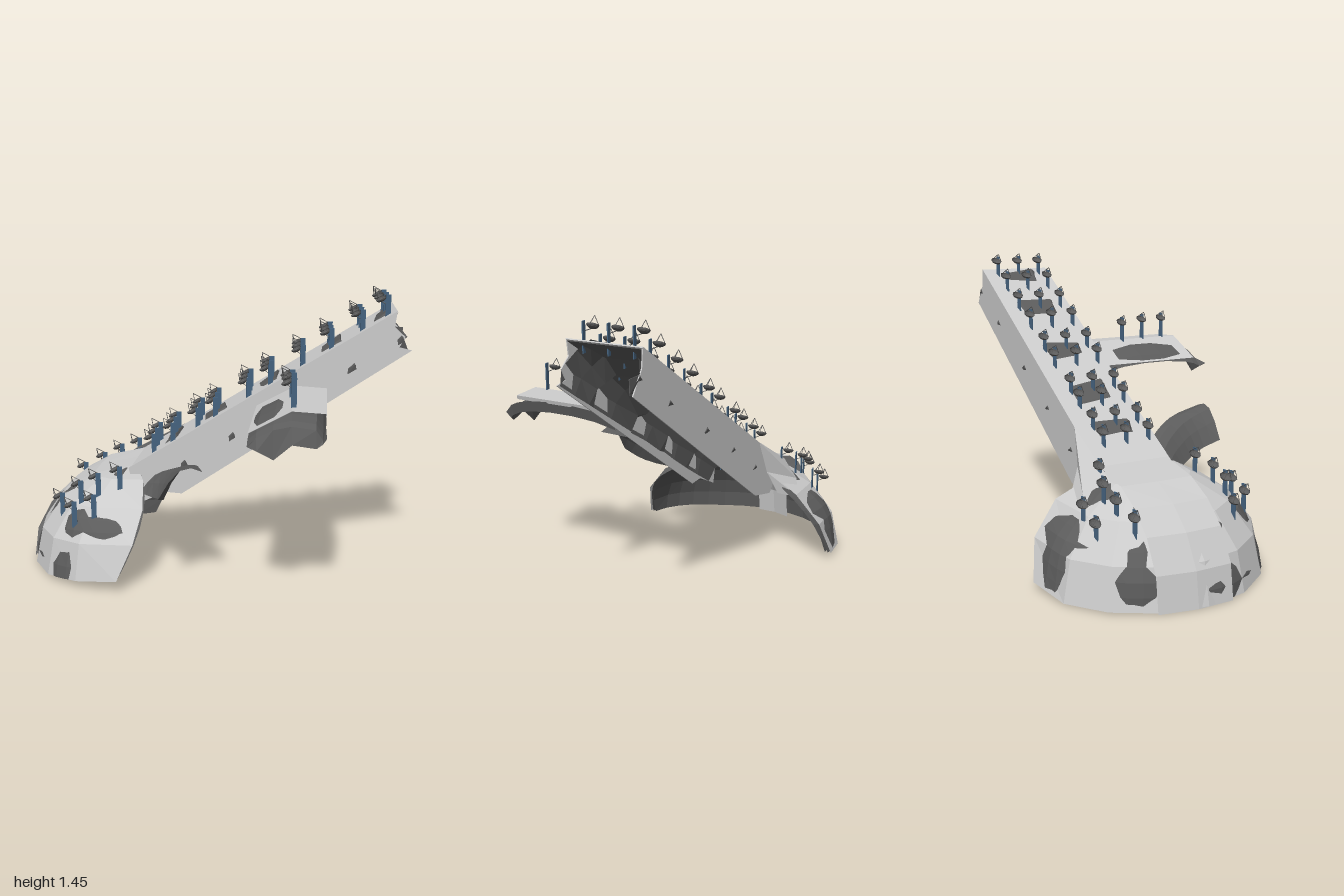
import * as THREE from 'three';

const mat = (color) => new THREE.MeshStandardMaterial({ color, flatShading: true, side: THREE.DoubleSide });
const hull = mat(0xcccccc), dark = mat(0x5c5c5c), blue = mat(0x466480);
const V = (x, y, z) => new THREE.Vector3(x, y, z);

// small repeatable jitter in -a..a
let seed = 7;
const jit = (a) => {
  seed = (seed * 16807) % 2147483647;
  return a * (seed / 1073741823.5 - 1);
};

function part(name, geometry, material, parent) {
  const m = new THREE.Mesh(geometry, material);
  m.name = name;
  parent.add(m);
  return m;
}

// skin stretched over rows of points
function loft(rows) {
  const n = rows[0].length, index = [];
  for (let i = 0; i < rows.length - 1; i++) {
    for (let j = 0; j < n - 1; j++) {
      const a = i * n + j, b = a + n;
      index.push(a, b, a + 1, b, b + 1, a + 1);
    }
  }
  const g = new THREE.BufferGeometry().setFromPoints(rows.flat());
  g.setIndex(index);
  g.computeVertexNormals();
  return g;
}

// half ellipsoid, open towards +x and below; waves make it bulge unevenly
function domeShell(scale, azSegs, elSegs, waves) {
  const rows = [];
  for (let i = 0; i <= azSegs; i++) {
    const t = i / azSegs, az = THREE.MathUtils.lerp(-1.58, 1.58, t);
    const row = [];
    for (let j = 0; j <= elSegs; j++) {
      const f = j / elSegs, el = f * Math.PI / 2;
      const s = scale + waves * Math.sin(5 * az + 4 * el) * Math.cos(3 * az - 5 * el);
      const c = Math.cos(el) * s;
      const edge = i === 0 || i === azSegs ? 0.01 + 0.11 * Math.sin(Math.PI * f) : 0;
      const rear = 0.055 * Math.max(0, t - 0.7) / 0.3 + 0.03 * Math.max(0, 0.12 - t) / 0.12;
      row.push(V(-0.54 * c * Math.cos(az) + edge, 0.01 + rear * (1 - f) + 0.5 * s * Math.sin(el), 0.58 * c * Math.sin(az)));
    }
    rows.push(row);
  }
  return loft(rows);
}

// strip running from the ground over the crown of the head
function crownBand(scale, half) {
  const path = [[-0.56, 0.005], [-0.535, 0.17], [-0.45, 0.32], [-0.34, 0.42], [-0.2, 0.49], [0.02, 0.535]];
  return loft(path.map(([x, y]) => [[-half, 0.89], [0, 0.955], [half, 0.95]].map(
    ([z, k]) => V(x * scale * k, y * scale, z))));
}

function sideWall(points) {
  const s = new THREE.Shape(points.map(([x, y]) => new THREE.Vector2(x, y)));
  return new THREE.ExtrudeGeometry(s, { depth: 0.006, bevelEnabled: false });
}

// stepped vault under the deck, one sloping bay after another
function vault() {
  const bays = [0, 0.3, 0.6, 0.92, 1.3, 1.58], rows = [];
  const arch = (s, top, wide) => [
    [-0.186, -0.2], [-0.186 * wide, -0.12], [-0.15 * wide, top - 0.045], [-0.09, top],
    [0.09, top], [0.15 * wide, top - 0.045], [0.186 * wide, -0.12], [0.186, -0.2],
  ].map(([z, y]) => V(s + jit(0.02), y + jit(0.005), z));
  for (let i = 0; i < bays.length - 1; i++) {
    rows.push(arch(bays[i], -0.05, 0.87));
    rows.push(arch((bays[i] + bays[i + 1]) / 2, i === 1 ? 0.002 : -0.009, 0.98));
    rows.push(arch(bays[i + 1] - 0.02, 0.011, 1.07));
  }
  return loft(rows);
}

// mast with a tilted dish and three struts; (x, y, z) is the dish centre
function antenna(x, y, z, parent) {
  const g = new THREE.Group();
  g.name = 'antenna';
  g.position.set(x, y, z);
  const mast = part('mast', new THREE.BoxGeometry(0.026, 0.14, 0.005), blue, g);
  mast.position.set(0.03, -0.05, 0.03);
  const head = new THREE.Group();
  head.name = 'dishHead';
  head.rotation.z = 0.5;
  g.add(head);
  const bowl = part('dish', new THREE.SphereGeometry(0.029, 10, 4, 0, Math.PI * 2, Math.PI / 2, Math.PI / 2), dark, head);
  bowl.scale.y = 0.6;
  for (let i = 0; i < 3; i++) {
    const a = i * Math.PI * 2 / 3;
    const foot = V(0.027 * Math.cos(a), 0, 0.027 * Math.sin(a));
    part('strut', new THREE.TubeGeometry(new THREE.LineCurve3(foot, V(0, 0.042, 0)), 1, 0.0016, 4), dark, head);
  }
  const arm = new THREE.LineCurve3(V(0.02, -0.025, 0.03), V(0, -0.014, 0));
  part('bracket', new THREE.TubeGeometry(arm, 1, 0.002, 4), dark, g);
  parent.add(g);
}

export function createModel() {
  const model = new THREE.Group();
  model.name = 'wreck';
  seed = 7;

  const body = new THREE.Group();
  body.name = 'body';
  body.position.set(-0.45, 0, -0.256);
  body.rotation.y = -0.188;
  model.add(body);

  // head: faceted shell, dark blotches showing through it, dark lining inside
  const head = new THREE.Group();
  head.name = 'head';
  head.position.z = 0.05;
  body.add(head);
  part('headShell', domeShell(1, 8, 4, 0), hull, head);
  part('headBlotches', domeShell(0.97, 24, 12, 0.025), dark, head);
  part('headLining', domeShell(0.94, 16, 8, 0), dark, head);
  part('crownBand', crownBand(1, 0.185), hull, body);
  part('innerBand', crownBand(0.91, 0.1), hull, body).position.z = 0.04;

  // rising beam: deck, two ragged walls and the vault below
  const beam = new THREE.Group();
  beam.name = 'beam';
  beam.position.y = 0.525;
  beam.rotation.z = 0.554;
  body.add(beam);
  part('deck', new THREE.BoxGeometry(1.6, 0.006, 0.39), hull, beam).position.set(0.8, -0.003, 0);
  part('deckLining', new THREE.BoxGeometry(1.59, 0.003, 0.375), dark, beam).position.set(0.8, -0.009, 0);
  part('leftWall', sideWall([[0, 0], [1.6, 0], [1.55, -0.06], [1.57, -0.13], [1.52, -0.16], [1.565, -0.205],
    [0.17, -0.26], [0.1, -0.21], [-0.07, -0.19]]), hull, beam).position.z = 0.189;
  part('rightWall', sideWall([[-0.05, 0], [1.6, 0], [1.56, -0.08], [1.565, -0.205],
    [0.17, -0.26], [0, -0.2]]), hull, beam).position.z = -0.195;
  part('vault', vault(), dark, beam);
  const flap = part('tornEnd', new THREE.BoxGeometry(0.12, 0.07, 0.004), dark, beam);
  flap.position.set(1.515, -0.134, -0.165);
  flap.rotation.z = -0.6;

  // web joining the beam to the head
  part('web', loft([
    [V(-0.5, 0.5, -0.46), V(-0.17, 0.68, -0.4)],
    [V(-0.42, 0.42, -0.55), V(-0.23, 0.5, -0.43)],
    [V(-0.34, 0.34, -0.58), V(-0.28, 0.37, -0.48)],
  ]), hull, model);

  // side arm: ridged top with a ragged dark underside
  const arm = new THREE.Group();
  arm.name = 'sideArm';
  model.add(arm);
  const across = (pts, z, rise = 0) => pts.map(([x, y]) => V(x - 0.19 * (z - 0.4), y + rise, z + (x - 0.3) * 0.14));
  const roof = [[0.115, 0.88], [0.31, 0.985], [0.465, 0.975], [0.46, 0.955]];
  part('armRoof', loft([0.1, 0.4, 0.67].map((z) => across(roof, z))), hull, arm);
  const under = [[0.115, 0.86], [0.155, 0.899], [0.23, 0.938], [0.31, 0.955], [0.42, 0.94], [0.45, 0.895], [0.462, 0.95]];
  const drops = [[0.1, -0.02], [0.22, 0.004], [0.35, 0.014], [0.48, 0.014], [0.6, 0.004], [0.67, -0.012]];
  const rows = drops.map(([z, r]) => across(under, z, r));
  rows.push(across(under, 0.71, -0.03));
  const fringe = [0.84, 0.82, 0.78, 0.85, 0.83, 0.85, 0.88];
  rows.push(under.map(([x], i) => V(x - 0.06, fringe[i], 0.745 + jit(0.02))));
  part('armUnderside', loft(rows), dark, arm);

  // curled strip torn from the left wall
  const low = [[-0.43, 0.42, 0.04], [-0.35, 0.43, 0.17], [-0.31, 0.47, 0.32], [-0.34, 0.51, 0.44]];
  const high = [[-0.27, 0.52, -0.02], [-0.2, 0.58, 0.11], [-0.15, 0.63, 0.27], [-0.13, 0.66, 0.49]];
  const curveOf = (pts) => new THREE.CatmullRomCurve3(pts.map((p) => V(...p))).getPoints(8);
  const a = curveOf(low), b = curveOf(high);
  part('curledStrip', loft(a.map((p, i) => [0, 0.25, 0.5, 0.75, 1].map((t) => {
    const q = p.clone().lerp(b[i], t);
    q.y += (0.035 + 0.005 * i) * Math.sin(Math.PI * t);
    return q;
  }))), dark, model);

  // three rows of antennas on the deck
  const masts = new THREE.Group();
  masts.name = 'antennas';
  model.add(masts);
  for (const x of [-0.36, -0.26, -0.13, -0.04, 0.13, 0.24, 0.4, 0.54, 0.69, 0.81]) {
    for (const k of [-1, 0, 1]) {
      antenna(x - 0.02 * k, 0.91 + 0.63 * x, -0.177 + 0.175 * x + 0.125 * k, masts);
    }
  }
  // antennas on the head and the side arm
  [[-0.46, 0.565, -0.49], [-0.56, 0.515, -0.55], [-0.66, 0.465, -0.56], [-0.77, 0.41, -0.55],
    [-0.54, 0.435, -0.65], [-0.64, 0.375, -0.66], [-0.86, 0.4, -0.02], [-0.76, 0.48, 0.03],
    [-0.67, 0.52, 0.04], [-0.56, 0.55, 0.03], [-0.79, 0.4, 0.13], [-0.69, 0.44, 0.15],
    [0.285, 1.09, 0.295], [0.27, 1.1, 0.43], [0.25, 1.1, 0.56]].forEach((p) => antenna(...p, masts));

  return model;
}
